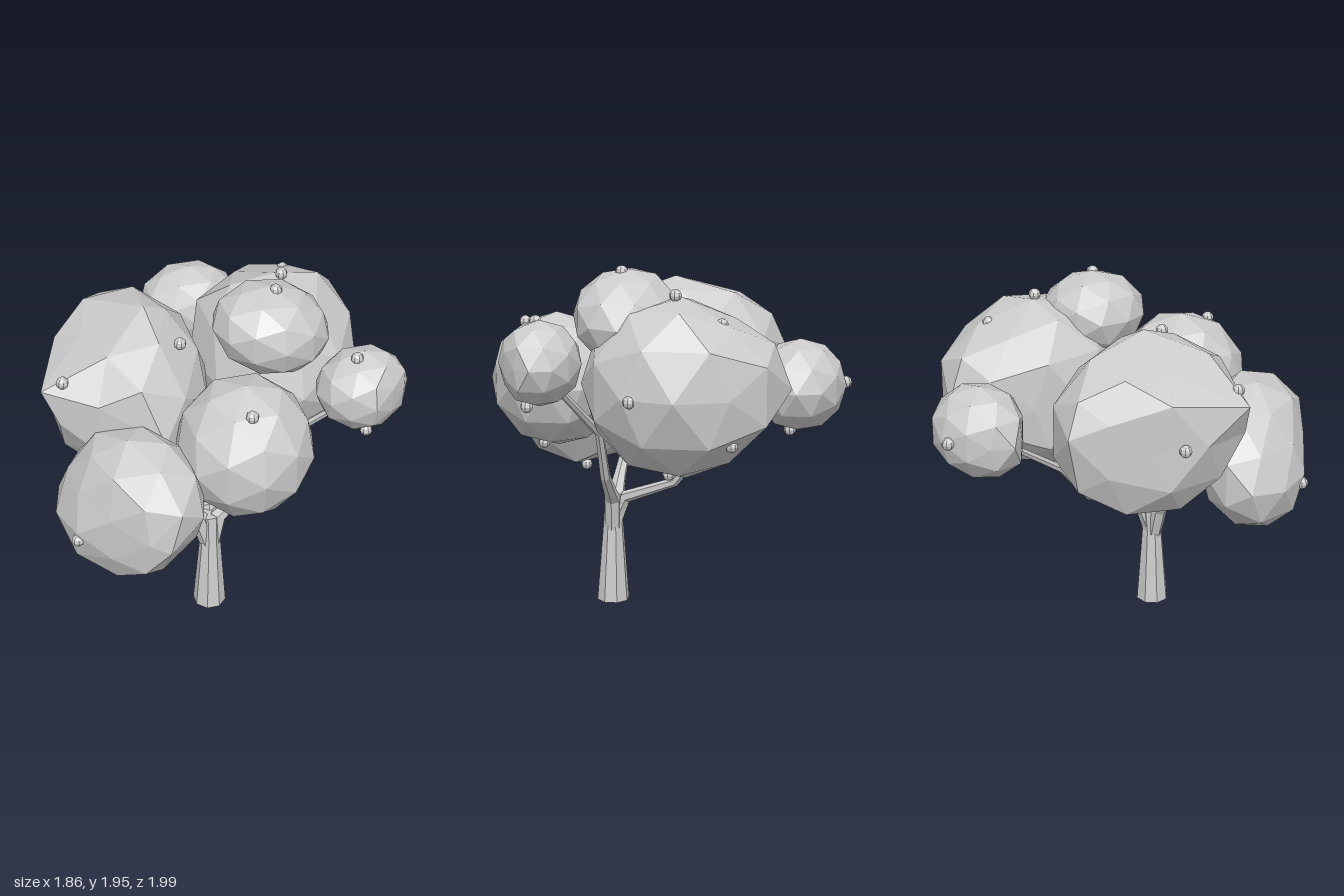
import * as THREE from 'three';

const clay = new THREE.MeshStandardMaterial({ color: 0xcccccc, flatShading: true });
clay.name = 'pale grey';

// Low-poly foliage ball: centre, half sizes, lean [xy, xz],
// planes [nx, ny, nz, d] that flatten its sides, and pulled-out corners
function foliage(c, h, { lean = [0, 0], planes = [], corners = [] } = {}) {
  const geo = new THREE.IcosahedronGeometry(1, 1);
  const pos = geo.attributes.position;
  const [a, r] = lean;
  const cuts = planes.map(([x, y, z, d]) => {
    const n = new THREE.Vector3(x, y, z);
    return new THREE.Plane(n, -d).normalize();
  });
  const p = new THREE.Vector3();
  for (let i = 0; i < pos.count; i++) {
    p.fromBufferAttribute(pos, i).multiplyScalar(1.03);
    p.set(
      c[0] + h[0] * p.x,
      c[1] + h[1] * (a * p.x + Math.sqrt(1 - a * a) * p.y),
      c[2] + h[2] * (r * p.x + Math.sqrt(1 - r * r) * p.z));
    for (const cut of cuts) {
      const over = cut.distanceToPoint(p);
      if (over > 0) p.addScaledVector(cut.normal, -over);
    }
    pos.setXYZ(i, p.x, p.y, p.z);
  }
  // Pull the nearest vertex out to each corner
  for (const corner of corners) {
    const target = new THREE.Vector3(...corner);
    let best = Infinity;
    const near = new THREE.Vector3();
    for (let i = 0; i < pos.count; i++) {
      const d = p.fromBufferAttribute(pos, i).distanceTo(target);
      if (d < best) { best = d; near.copy(p); }
    }
    for (let i = 0; i < pos.count; i++) {
      if (p.fromBufferAttribute(pos, i).distanceTo(near) < 1e-4) pos.setXYZ(i, ...corner);
    }
  }
  geo.computeVertexNormals();
  return geo;
}

// Tapered limb through [x, y, z, radius] stations, capped at both ends
function limb(stations, sides) {
  const pts = stations.map(s => new THREE.Vector3(s[0], s[1], s[2]));
  const verts = [], index = [];
  const n = pts.length;
  pts.forEach((p, i) => {
    const dir = pts[Math.min(i + 1, n - 1)].clone().sub(pts[Math.max(i - 1, 0)]).normalize();
    if (i === 0) dir.set(0, 1, 0);
    const u = new THREE.Vector3(0, 0, 1).addScaledVector(dir, -dir.z).normalize();
    const v = dir.clone().cross(u);
    for (let k = 0; k < sides; k++) {
      const t = (k + 0.5) / sides * Math.PI * 2;
      const q = p.clone().addScaledVector(u, Math.cos(t) * stations[i][3])
        .addScaledVector(v, Math.sin(t) * stations[i][3]);
      verts.push(q.x, q.y, q.z);
      if (i < n - 1) {
        const A = i * sides + k, B = i * sides + (k + 1) % sides;
        index.push(A, B, B + sides, A, B + sides, A + sides);
      }
    }
  });
  const last = (n - 1) * sides;
  for (let k = 1; k < sides - 1; k++) {
    index.push(0, k + 1, k, last, last + k, last + k + 1);
  }
  const geo = new THREE.BufferGeometry();
  geo.setAttribute('position', new THREE.Float32BufferAttribute(verts, 3));
  geo.setIndex(index);
  const flat = geo.toNonIndexed();
  flat.computeVertexNormals();
  return flat;
}

export function createModel() {
  const tree = new THREE.Group();
  tree.name = 'tree';
  const add = (name, geo) => {
    const m = new THREE.Mesh(geo, clay);
    m.name = name;
    tree.add(m);
    return m;
  };

  // Trunk and forked branches
  add('trunk', limb([[-0.065, 0, 0.32, 0.092], [-0.06, 0.45, 0.315, 0.057], [-0.06, 0.61, 0.3, 0.06]], 8));
  add('leftBranch', limb([[-0.075, 0.42, 0.315, 0.045], [-0.122, 0.6, 0.31, 0.05],
    [-0.2, 0.69, 0.3, 0.036], [-0.32, 0.84, 0.28, 0.026], [-0.42, 1.08, 0.2, 0.022]], 6));
  add('rightBranch', limb([[-0.045, 0.42, 0.315, 0.045], [-0.01, 0.6, 0.31, 0.047], [0.06, 0.665, 0.31, 0.036],
    [0.17, 0.775, 0.315, 0.029], [0.3, 1.05, 0.32, 0.024], [0.6, 1.36, 0.49, 0.018]], 6));
  add('backBranch', limb([[-0.06, 0.44, 0.31, 0.045], [-0.04, 0.61, 0.24, 0.036],
    [0.05, 0.73, -0.05, 0.026], [0.11, 0.92, -0.2, 0.023], [0.12, 1.2, -0.6, 0.018]], 6));

  // Foliage clumps
  add('backLeftFoliage', foliage([-0.45, 1.35, -0.05], [0.45, 0.46, 0.55], {
    planes: [[-0.84, 0, -0.55, 0.75], [-0.48, 0, 0.88, 0.64], [-0.42, 0.9, 0, 1.775], [-0.97, -0.25, 0, 0.5]],
    corners: [[-0.92, 1.53, 0.2], [-0.47, 1.42, -0.61], [-0.33, 1.82, 0], [-0.35, 1.3, 0.51]],
  }));
  add('rightFoliage', foliage([0.425, 1.345, -0.16], [0.455, 0.475, 0.535], {
    planes: [[-0.76, 0, -0.65, 0.2], [0.72, 0, -0.69, 0.885], [0.93, 0, -0.37, 0.895],
      [0.71, 0, 0.71, 0.66], [0, 0.9, -0.43, 1.69], [0, -0.71, -0.71, -0.41]],
  }));
  add('topFoliage', foliage([0.305, 1.69, 0.17], [0.305, 0.24, 0.275], { lean: [-0.15, 0] }));
  add('frontLeftFoliage', foliage([-0.57, 1.055, 0.6], [0.35, 0.39, 0.4], {
    lean: [0.22, 0.3],
    planes: [[-0.87, 0.49, 0, 1.3], [-0.67, 0, 0.74, 1.09]],
    corners: [[-0.41, 0.7, 0.6], [-0.45, 1, 0.99]],
  }));
  add('frontFoliage', foliage([0.04, 1.29, 0.6], [0.35, 0.36, 0.36]));
  add('smallRightFoliage', foliage([0.68, 1.495, 0.55], [0.24, 0.215, 0.21], {
    planes: [[0.6, 0, 0.8, 1.035]],
  }));
  add('smallBackFoliage', foliage([0.11, 1.31, -0.73], [0.29, 0.24, 0.24], {
    planes: [[-0.62, 0, 0.78, -0.42], [-0.67, 0, -0.74, 0.705]],
  }));

  // Little fruits dotted on the foliage
  const fruits = [
    [-0.81, 1.58, 0.22], [-0.2, 1.72, 0.24], [-0.32, 1.69, -0.29], [-0.82, 1.35, -0.14], [-0.36, 0.87, 0.01],
    [-0.86, 0.93, 0.68], [-0.56, 1.34, 0.77], [-0.58, 0.65, 0.57], [0.02, 1.6, 0.78], [0.05, 0.93, 0.68],
    [0.32, 1.92, 0.19], [0.45, 1.82, -0.11], [0.54, 1.69, -0.36], [0.82, 1.335, 0.07], [0.7, 1.1, -0.43],
    [0.35, 0.85, -0.06], [0.63, 1.7, 0.58], [0.69, 1.27, 0.62], [0.06, 1.32, -0.97], [0.1, 1.06, -0.68],
  ];
  const fruitGeo = new THREE.SphereGeometry(0.033, 8, 6);
  for (const f of fruits) add('fruit', fruitGeo).position.set(...f);

  return tree;
}
